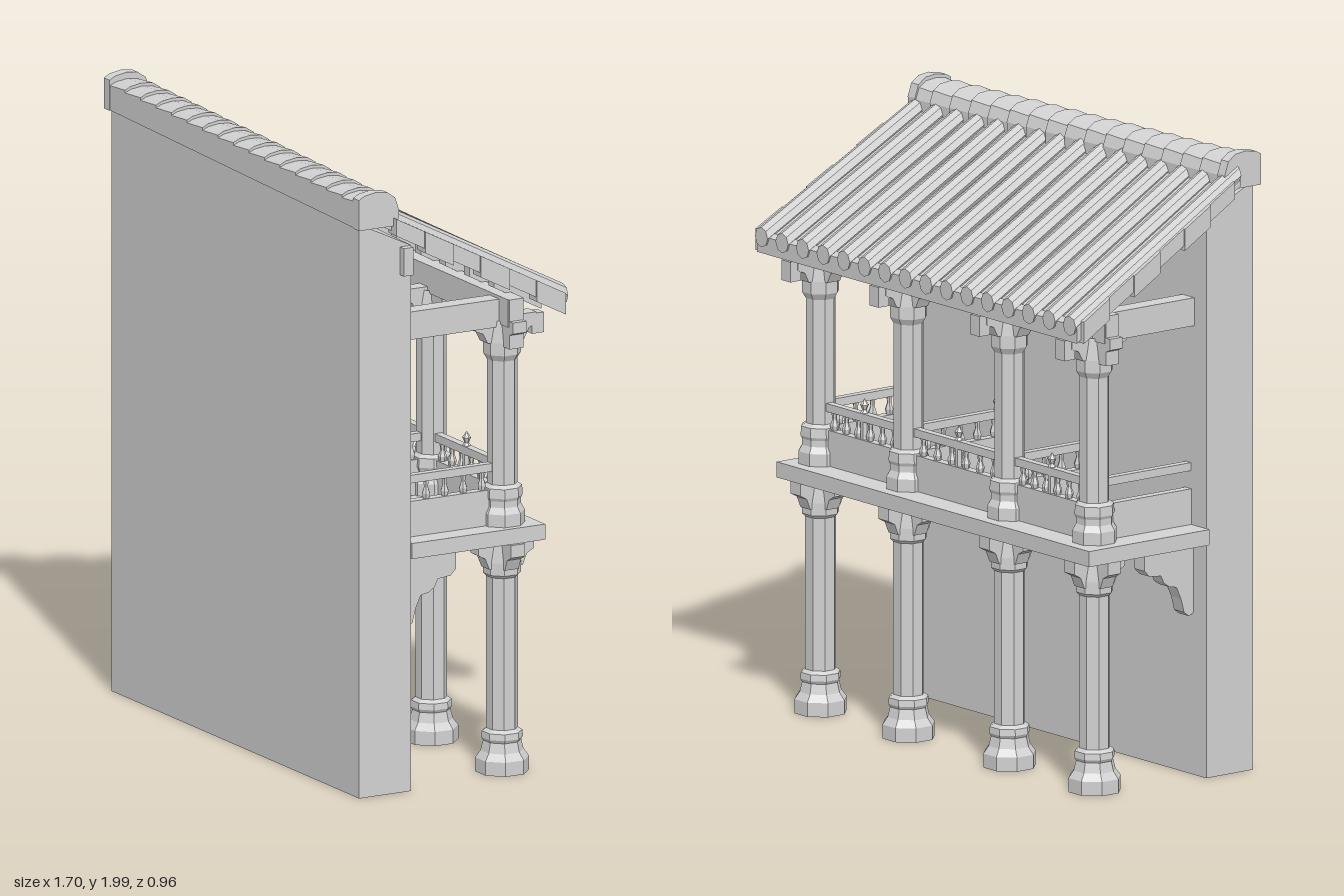
import * as THREE from 'three';

export function createModel() {
  const root = new THREE.Group();
  root.name = 'balconyHouseFacade';
  const body = new THREE.Group();
  body.name = 'structure';
  body.rotation.y = -0.133; // whole building stands slightly turned
  root.add(body);

  // double sided because the wall and columns are hollow underneath
  const stone = new THREE.MeshStandardMaterial({ color: 0xd2d2d2, side: THREE.DoubleSide });
  stone.name = 'paleGrey';
  stone.flatShading = true;

  const add = (geo, name, parent = body) => {
    const m = new THREE.Mesh(geo, stone);
    m.name = name;
    parent.add(m);
    return m;
  };
  // box from minimum and maximum corners
  const boxGeo = (x0, x1, y0, y1, z0, z1) =>
    new THREE.BoxGeometry(x1 - x0, y1 - y0, z1 - z0)
      .translate((x0 + x1) / 2, (y0 + y1) / 2, (z0 + z1) / 2);
  const box = (name, ...size) => add(boxGeo(...size), name);
  // profile in (z, y), extruded along x around its centre
  const extrudeX = (pts, width) => {
    const s = new THREE.Shape(pts.map(p => new THREE.Vector2(...p)));
    return new THREE.ExtrudeGeometry(s, { depth: width, bevelEnabled: false })
      .translate(0, 0, -width / 2).rotateY(-Math.PI / 2);
  };
  // move every vertex by a rule
  const warp = (geo, rule) => {
    const p = geo.attributes.position, v = new THREE.Vector3();
    for (let i = 0; i < p.count; i++) {
      rule(v.fromBufferAttribute(p, i));
      p.setXYZ(i, v.x, v.y, v.z);
    }
    geo.computeVertexNormals();
    return geo;
  };
  const tilt = 0.025; // the ridge drops gently towards +x

  // Wall without a bottom face, its top sloped to meet the roof
  const wall = boxGeo(-0.78, 0.76, 0, 1.87, 0.175, 0.362);
  const faces = Array.from(wall.index.array);
  faces.splice(18, 6);
  wall.setIndex(faces);
  add(warp(wall, v => { if (v.y > 1) v.y -= tilt * v.x + (v.z < 0.2 ? 0.09 : 0); }), 'wall');

  // Ridge: upright front, rounded back, overlapping tiles with a cap at each end
  const ridgeProfile = [[-0.07, 0], [0.07, 0], [0.07, 0.088], [0.05, 0.098], [0.01, 0.104],
    [-0.03, 0.1], [-0.058, 0.082], [-0.072, 0.045]];
  const nTiles = 16, pitch = 1.54 / nTiles;
  for (let i = 0; i < nTiles; i++) {
    const x = -0.77 + pitch * (i + 0.5);
    add(warp(extrudeX(ridgeProfile, pitch + 0.012), v => {
      const s = v.x > 0 ? 1 : 0.89;
      v.set(v.x + x, v.y * s + 1.86 - tilt * (v.x + x), (v.z < 0 ? v.z * s : v.z) + 0.308);
    }), 'ridgeTile');
  }
  for (const x of [-0.78, 0.77]) {
    add(extrudeX(ridgeProfile, 0.036).scale(1, 1.12, 1.02)
      .translate(x, 1.858 - tilt * x, 0.308), 'ridgeEndCap');
  }

  // Roof space: x along the ridge, y above the deck, z = 0 at ridge to 1 at eave
  const onRoof = geo => {
    const ix = geo.index.array; // this rule flips z, so reverse the corner order
    for (let i = 0; i < ix.length; i += 3) [ix[i], ix[i + 1]] = [ix[i + 1], ix[i]];
    return warp(geo, v => {
      const t = v.z, top = 1.88 - tilt * 1.1 * v.x;
      v.set(v.x, top + (1.53 - top) * t + v.y, 0.26 - 0.63 * t);
    });
  };
  const roofBox = (name, x, w, y0, y1, t0, t1) =>
    add(onRoof(boxGeo(x - w / 2, x + w / 2, y0, y1, t0, t1)), name);
  roofBox('roofDeck', -0.015, 1.58, -0.035, 0, -0.05, 0.99);
  roofBox('eaveBoard', -0.015, 1.6, -0.05, 0.005, 0.965, 1);

  // Rows of rounded cover tiles
  for (let i = 0; i < 16; i++) {
    const x = -0.785 + i * 0.1027;
    add(onRoof(new THREE.CylinderGeometry(0.032, 0.032, 1.05, 8)
      .rotateX(Math.PI / 2).translate(x, 0.006, 0.485)), 'coverTile');
  }

  // Stepped verge tiles down both gable edges
  for (const [x, out] of [[-0.8, -1], [0.78, 1]]) {
    for (let k = 0; k < 6; k++) {
      const t = 0.01 + k * 0.16;
      roofBox('vergeTile', x + out * 0.006 * (k % 2), 0.05, -0.045 - (k % 2) * 0.014, 0.01, t, t + 0.165);
    }
  }

  // Rafter tails under the eave
  for (let i = 0; i < 10; i++) {
    roofBox('rafterTail', -0.7 + i * 0.152, 0.035, -0.075, -0.03, 0.68, 0.95);
  }

  // Gallery floor
  box('galleryFloor', -0.795, 0.768, 0.75, 0.8, -0.305, 0.176);

  // Stepped cross brackets on the column heads
  const headBracket = (x, top, r, h, name) => {
    const pts = [[-r, 0], [-r, -h * 0.45], [-r * 0.75, -h * 0.6], [-r * 0.6, -h], [r * 0.6, -h],
      [r * 0.75, -h * 0.6], [r, -h * 0.45], [r, 0]];
    for (const turn of [0, Math.PI / 2]) {
      add(extrudeX(pts, 0.05).rotateY(turn).translate(x, top, -0.2), name);
    }
  };

  // Octagonal columns on both storeys
  const lowerProfile = [[0.085, 0], [0.085, 0.045], [0.068, 0.068], [0.06, 0.1], [0.066, 0.11],
    [0.064, 0.13], [0.05, 0.14], [0.05, 0.63], [0.06, 0.64], [0.06, 0.68], [0.05, 0.75]];
  const upperProfile = [[0.072, 0.8], [0.072, 0.84], [0.06, 0.86], [0.06, 0.88], [0.065, 0.89],
    [0.063, 0.92], [0.048, 0.93], [0.048, 1.33], [0.06, 1.35], [0.06, 1.39], [0.05, 1.46]];
  const lathe = (pts, n) =>
    new THREE.LatheGeometry(pts.map(p => new THREE.Vector2(...p)), n).rotateY(Math.PI / n);
  const columnX = [-0.69, -0.265, 0.24, 0.68];
  for (const x of columnX) {
    add(lathe(lowerProfile, 8).translate(x, 0, -0.2), 'lowerColumn');
    add(lathe(upperProfile, 8).translate(x, 0, -0.2), 'upperColumn');
    headBracket(x, 0.75, 0.1, 0.09, 'floorBracket');
    headBracket(x, 1.47, 0.11, 0.08, 'roofBracket');
    box('eaveBracketTip', x - 0.022, x + 0.022, 1.4, 1.465, -0.338, -0.295);
  }

  // Beams under the roof
  box('eaveBeam', -0.775, 0.765, 1.45, 1.54, -0.228, -0.172);
  for (const x of [-0.76, 0.75]) box('beamEndDrop', x - 0.02, x + 0.02, 1.38, 1.54, -0.225, -0.175);
  for (const x of [columnX[0], columnX[3]]) box('tieBeam', x - 0.03, x + 0.03, 1.44, 1.53, -0.2, 0.18);
  box('wallPurlin', -0.775, 0.775, 1.7, 1.76, 0.18, 0.215);
  box('purlinEnd', 0.755, 0.785, 1.67, 1.76, 0.18, 0.215);

  // Scrolled brackets carrying the floor from the wall
  const scroll = [[0.176, 0.75], [0.176, 0.52], [0.158, 0.51], [0.138, 0.525], [0.126, 0.57], [0.108, 0.61],
    [0.08, 0.615], [0.058, 0.63], [0.046, 0.655], [0, 0.66], [-0.02, 0.68], [-0.02, 0.75]].reverse();
  for (const i of [0, 1, 3]) {
    add(extrudeX(scroll, 0.05).translate(columnX[i], 0, 0), 'wallBracket');
  }

  // Balustrades: low panel, turned balusters and handrail
  const baluster = [[0.008, 0.9], [0.014, 0.93], [0.007, 0.95], [0.01, 0.975]];
  const finial = [[0.013, 0.9], [0.013, 1.0], [0.007, 1.008], [0.014, 1.025], [0, 1.045]];
  const railing = (x0, z0, x1, z1, count) => {
    const g = new THREE.Group();
    g.name = 'balustrade';
    const dx = x1 - x0, dz = z1 - z0, len = Math.hypot(dx, dz);
    g.position.set((x0 + x1) / 2, 0, (z0 + z1) / 2);
    g.rotation.y = -Math.atan2(dz, dx);
    add(new THREE.BoxGeometry(len, 0.115, 0.03).translate(0, 0.857, 0), 'panel', g);
    add(new THREE.BoxGeometry(len, 0.026, 0.026).translate(0, 0.985, 0), 'handrail', g);
    for (let i = 0; i < count; i++) {
      const x = len * ((i + 0.5) / count - 0.5);
      add(lathe(baluster, 6).translate(x, 0, 0), 'baluster', g);
    }
    body.add(g);
  };
  columnX.forEach((x, i) => {
    railing(x, -0.16, x, 0.175, i === 0 ? 0 : 5); // the -x end has a plain rail
    if (i > 0) add(lathe(finial, 6).translate(x, 0, 0.155), 'finialPost');
    if (i === 3) return;
    const next = columnX[i + 1];
    railing(x + 0.04, -0.2, next - 0.04, -0.2, 6);
    add(lathe(finial, 6).translate((x + next) / 2, 0, -0.2), 'finialPost');
  });

  return root;
}
